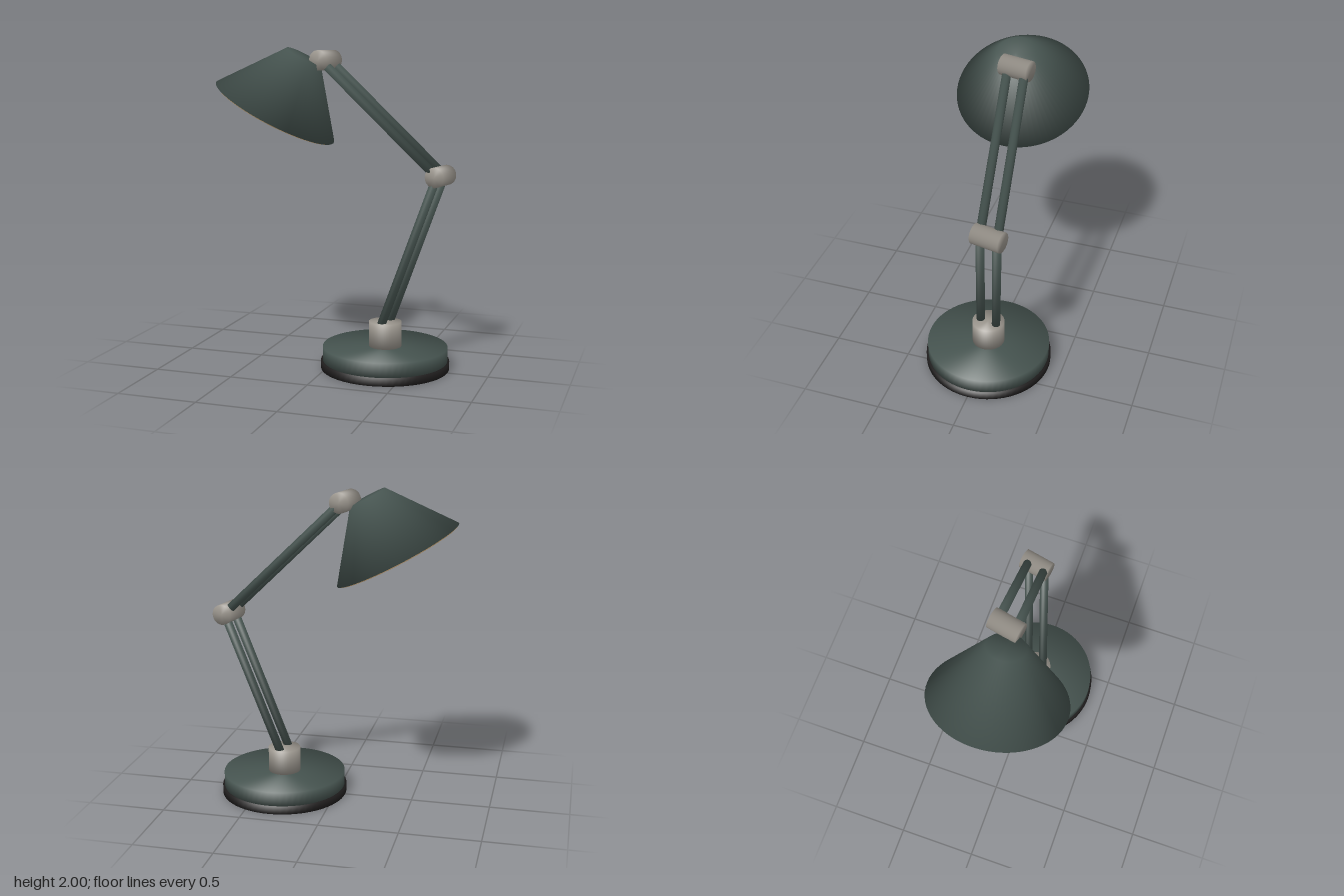
import * as THREE from 'three';

const V = (x, y, z) => new THREE.Vector3(x, y, z);
const UP = V(0, 1, 0);

function material(name, color) {
  const m = new THREE.MeshStandardMaterial({ color });
  m.name = name;
  return m;
}

// Closed cylinder or frustum whose shading runs smoothly over the rims
function softCylinder(rTop, rBottom, height, segments) {
  const g = new THREE.CylinderGeometry(rTop, rBottom, height, segments);
  const slant = Math.hypot(height, rBottom - rTop);
  const out = height / slant, rise = (rBottom - rTop) / slant;
  const { position: p, normal: n } = g.attributes;
  for (let i = 0; i < p.count; i++) {
    const end = Math.sign(p.getY(i));
    const r = end > 0 ? rTop : rBottom;
    n.setXYZ(i, out * p.getX(i) / r, rise + end, out * p.getZ(i) / r);
  }
  return g;
}

export function createModel() {
  const lamp = new THREE.Group();
  lamp.name = 'deskLamp';

  const green = material('darkGreenEnamel', 0x465450);
  const grey = material('warmGreyMetal', 0x9a958d);
  const black = material('blackRubber', 0x1f1d1d);
  const tan = material('tanDiffuser', 0xe0b67e);

  // Solid running from point a to point b
  function solid(name, a, b, rA, rB, mat, segments) {
    const dir = b.clone().sub(a);
    const mesh = new THREE.Mesh(softCylinder(rB, rA, dir.length(), segments), mat);
    mesh.name = name;
    mesh.position.copy(a).add(b).multiplyScalar(0.5);
    mesh.quaternion.setFromUnitVectors(UP, dir.normalize());
    lamp.add(mesh);
  }

  // Weighted base and post
  const disc = (name, r, y0, y1, mat) =>
    solid(name, V(0.342, y0, -0.005), V(0.342, y1, -0.005), r, r, mat, 64);
  disc('baseFoot', 0.405, 0, 0.05, black);
  disc('basePlate', 0.393, 0.05, 0.14, green);
  disc('post', 0.103, 0.14, 0.297, grey);

  // Joints share one slightly turned horizontal axis
  const axis = V(0.21, 0, -0.978).normalize();
  const along = (p, d) => p.clone().addScaledVector(axis, d);
  const foot = V(0.338, 0.27, -0.003);
  const elbow = V(0.657, 1.215, -0.12);
  const neck = V(-0.07, 1.923, -0.053);
  for (const [name, p] of [['elbowJoint', elbow], ['neckJoint', neck]]) {
    solid(name, along(p, -0.094), along(p, 0.094), 0.063, 0.063, grey, 40);
  }

  // Twin parallel arms
  for (const [side, d] of [['Front', -0.057], ['Back', 0.057]]) {
    solid('lowerArm' + side, along(foot, d), along(elbow, d), 0.027, 0.027, green, 24);
    solid('upperArm' + side, along(elbow, d), along(neck, d), 0.027, 0.027, green, 24);
  }

  // Tilted conical shade, closed below by a tan diffuser disc
  const rim = V(-0.384, 1.599, 0.004);
  const tilt = V(0.472, 0.881, -0.03).normalize();
  const onShade = (d) => rim.clone().addScaledVector(tilt, d);
  solid('shade', onShade(0), onShade(0.395), 0.416, 0.118, green, 64);
  solid('diffuser', onShade(-0.006), onShade(0.01), 0.405, 0.405, tan, 64);

  return lamp;
}
